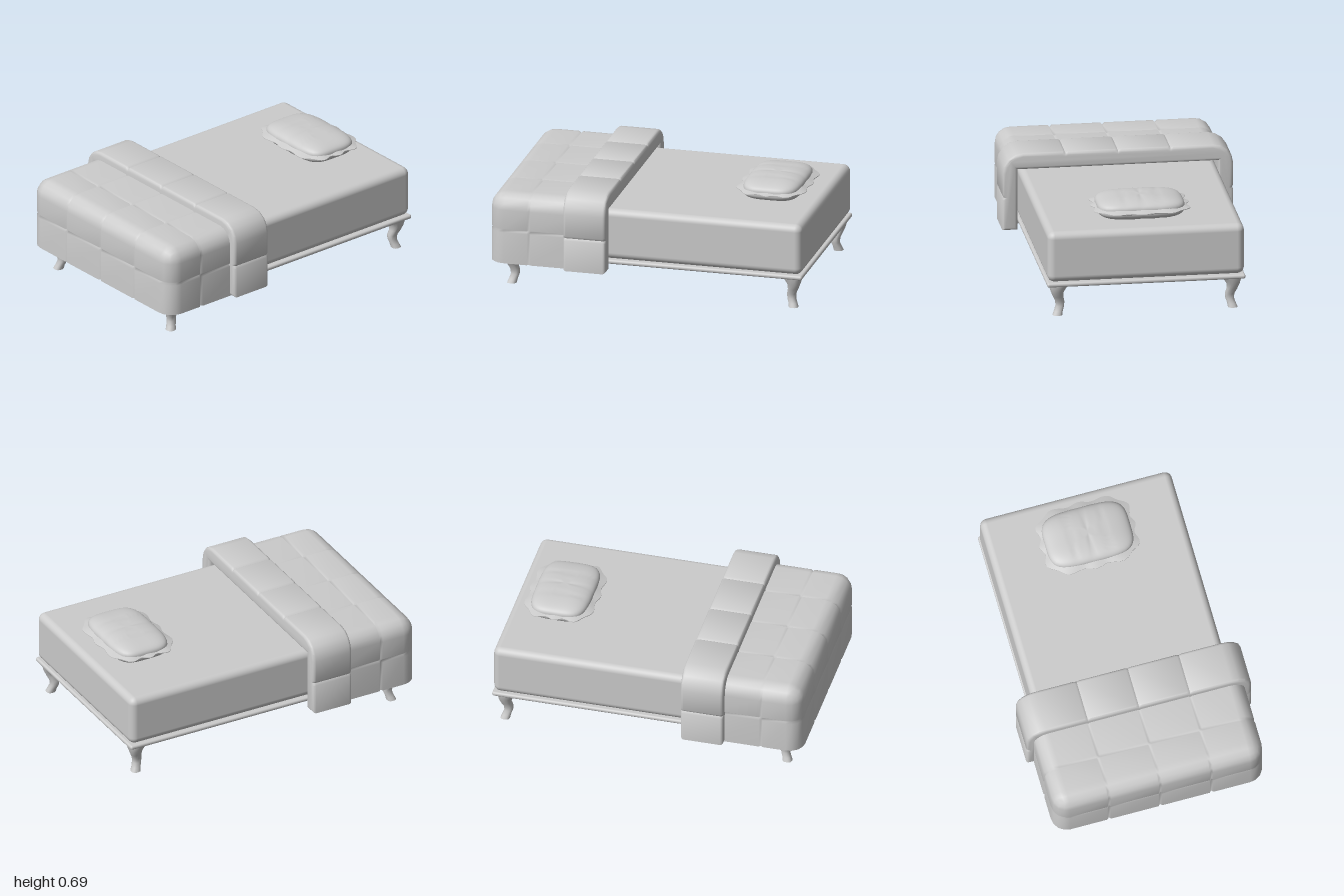
import * as THREE from 'three';
import { mergeVertices, toCreasedNormals } from 'three/addons/utils/BufferGeometryUtils.js';
import { RoundedBoxGeometry } from 'three/addons/geometries/RoundedBoxGeometry.js';

const grey = new THREE.MeshStandardMaterial({ color: 0xcccccc });
const greyDouble = new THREE.MeshStandardMaterial({ color: 0xcccccc, side: THREE.DoubleSide });

function part(name, geometry, material = grey) {
  const mesh = new THREE.Mesh(geometry, material);
  mesh.name = name;
  return mesh;
}

// Move every vertex by a rule, weld the seams and smooth the normals
function reshape(geometry, rule) {
  const pos = geometry.attributes.position, p = new THREE.Vector3();
  for (let i = 0; i < pos.count; i++) {
    p.fromBufferAttribute(pos, i);
    rule(p);
    pos.setXYZ(i, p.x, p.y, p.z);
  }
  geometry.deleteAttribute('normal');
  geometry.deleteAttribute('uv');
  const welded = mergeVertices(geometry, 1e-5);
  welded.computeVertexNormals();
  return welded;
}

// Quilt: open rounded box whose grid lines follow the corners and stitched seams
function quiltGeometry() {
  const r = 0.1, x0 = -1, x1 = -0.45, y0 = 0.165, y1 = 0.615, w = 0.68;
  const seams = [[-0.74], [0.38], [-0.33, 0, 0.33]];
  const seamLines = (list) => list.flatMap((s) => [s - 0.012, s, s + 0.012]);
  const a = r * 0.59;
  const lines = [
    [x0, x0 + a, x0 + r, ...seamLines(seams[0]), x1],
    [y0, ...seamLines(seams[1]), y1 - r, y1 - a, y1],
    [-w, -w + a, -w + r, ...seamLines(seams[2]), w - r, w - a, w],
  ];
  const n = lines.map((l) => l.length - 1);
  const box = new THREE.BoxGeometry(1, 1, 1, ...n);
  // leave out the bottom and the end beneath the fold
  const index = Array.from(box.index.array);
  box.setIndex(box.groups.filter((g, i) => i !== 0 && i !== 3)
    .flatMap((g) => index.slice(g.start, g.start + g.count)));
  box.clearGroups();
  const low = new THREE.Vector3(x0 + r, y0, -w + r);
  const high = new THREE.Vector3(x1, y1 - r, w - r);
  return reshape(box, (p) => {
    let onSeam = false;
    ['x', 'y', 'z'].forEach((k, i) => {
      p[k] = lines[i][Math.round((p[k] + 0.5) * n[i])];
      if (seams[i].includes(p[k])) onSeam = true;
    });
    const inner = p.clone().clamp(low, high);
    p.sub(inner).setLength(onSeam ? r - 0.012 : r).add(inner);
  });
}

// Folded band: U-shaped section with stitch notches, extruded along the bed
function foldGeometry() {
  const bevel = 0.02, w = 0.705, top = 0.645, bottom = 0.185, r = 0.11, hw = 0.02, d = 0.012;
  const half = [[w, bottom], [w, 0.38 - hw], [w - d, 0.38], [w, 0.38 + hw]];
  for (let i = 0; i <= 4; i++) {
    const t = (i / 4) * Math.PI / 2;
    half.push([w - r + r * Math.cos(t), top - r + r * Math.sin(t)]);
  }
  half.push([0.33 + hw, top], [0.33, top - d], [0.33 - hw, top], [hw, top]);
  const mirrored = half.map(([z, y]) => [-z, y]).reverse();
  const inside = [[-0.65, bottom], [-0.65, 0.58], [0.65, 0.58], [0.65, bottom]];
  const outline = [...half, [0, top - d], ...mirrored, ...inside];
  const shape = new THREE.Shape(outline.map(([z, y]) => new THREE.Vector2(z, y)));
  const geometry = new THREE.ExtrudeGeometry(shape, {
    depth: 0.235, bevelEnabled: true, bevelSize: bevel, bevelThickness: bevel, bevelSegments: 3,
  });
  geometry.rotateY(Math.PI / 2).translate(-0.49, 0, 0);
  return toCreasedNormals(geometry, 0.6);
}

// Curved leg: rings of [height, inset from the frame corner, half width]
function legGeometry(sx, sz) {
  const rings = [[0.205, 0.08, 0.066], [0.185, 0.074, 0.056], [0.155, 0.068, 0.041],
    [0.12, 0.074, 0.033], [0.085, 0.086, 0.029], [0.055, 0.087, 0.027],
    [0.025, 0.077, 0.027], [0, 0.07, 0.03]];
  const n = rings.length - 1;
  const tube = new THREE.CylinderGeometry(1, 1, 1, 16, n);
  const geometry = reshape(tube, (p) => {
    const [y, inset, h] = rings[Math.round((0.5 - p.y) * n)];
    const square = Math.pow(p.x ** 4 + p.z ** 4, -0.25) || 0;
    const k = p.x || p.z ? h * (0.5 + 0.5 * square) * Math.min(1, Math.hypot(p.x, p.z)) : 0;
    p.set(0.025 + sx * (0.975 - inset) + p.x * k, y, sz * (0.62 - inset) + p.z * k);
  });
  return toCreasedNormals(geometry, 0.9);
}

// Rounded-rectangle stretch of a direction in plan
function plan(x, z) {
  const a = Math.atan2(z, x);
  const c = Math.cos(a), s = Math.sin(a);
  const k = Math.pow(c ** 4 + s ** 4, -0.25);
  return { a, c: c * k, s: s * k };
}

// Cushion body: squared-off sphere with shallow seams across it
function cushionGeometry() {
  return reshape(new THREE.SphereGeometry(1, 64, 32), (p) => {
    const R = Math.pow(Math.min(1, Math.hypot(p.x, p.z)), 0.75);
    const { c, s } = plan(p.x, p.z);
    const z = 0.275 * R * s;
    let puff = 1;
    for (const seam of [-0.11, 0, 0.11]) puff -= 0.06 * Math.exp(-(((z - seam) / 0.014) ** 2));
    const y = Math.sign(p.y) * Math.pow(Math.abs(p.y), 0.65) * 0.069 * puff;
    p.set(0.185 * R * c, y, z);
  });
}

// Cushion frill: thin lens-shaped rim with a wavy outline
function frillGeometry() {
  const profile = [[0.72, -0.026], [1, -0.002], [1, 0.002], [0.72, 0.026]];
  const lathe = new THREE.LatheGeometry(profile.map(([x, y]) => new THREE.Vector2(x, y)), 96);
  const geometry = reshape(lathe, (p) => {
    const R = Math.hypot(p.x, p.z);
    const { a, c, s } = plan(p.x, p.z);
    const wave = R > 0.9 ? 1 + 0.04 * Math.cos(12 * a) : 1;
    p.set(0.218 * R * wave * c, p.y, 0.298 * R * wave * s);
  });
  return toCreasedNormals(geometry, 0.6);
}

export function createModel() {
  const bed = new THREE.Group();
  bed.name = 'bed';

  // Frame and mattress
  const frame = part('frame', new RoundedBoxGeometry(1.95, 0.028, 1.245, 3, 0.013));
  frame.position.set(0.025, 0.213, 0);
  const mattress = part('mattress', new RoundedBoxGeometry(1.945, 0.328, 1.235, 4, 0.045));
  mattress.position.set(0.0225, 0.391, 0);
  bed.add(frame, mattress);

  // Four legs
  for (const sx of [-1, 1]) for (const sz of [-1, 1]) bed.add(part('leg', legGeometry(sx, sz)));

  // Bedding
  bed.add(part('quilt', quiltGeometry(), greyDouble));
  bed.add(part('quiltFold', foldGeometry()));

  // Cushion
  const cushion = new THREE.Group();
  cushion.name = 'cushion';
  cushion.add(part('cushionBody', cushionGeometry()), part('cushionFrill', frillGeometry(), greyDouble));
  cushion.position.set(0.685, 0.621, 0);
  bed.add(cushion);
  return bed;
}
